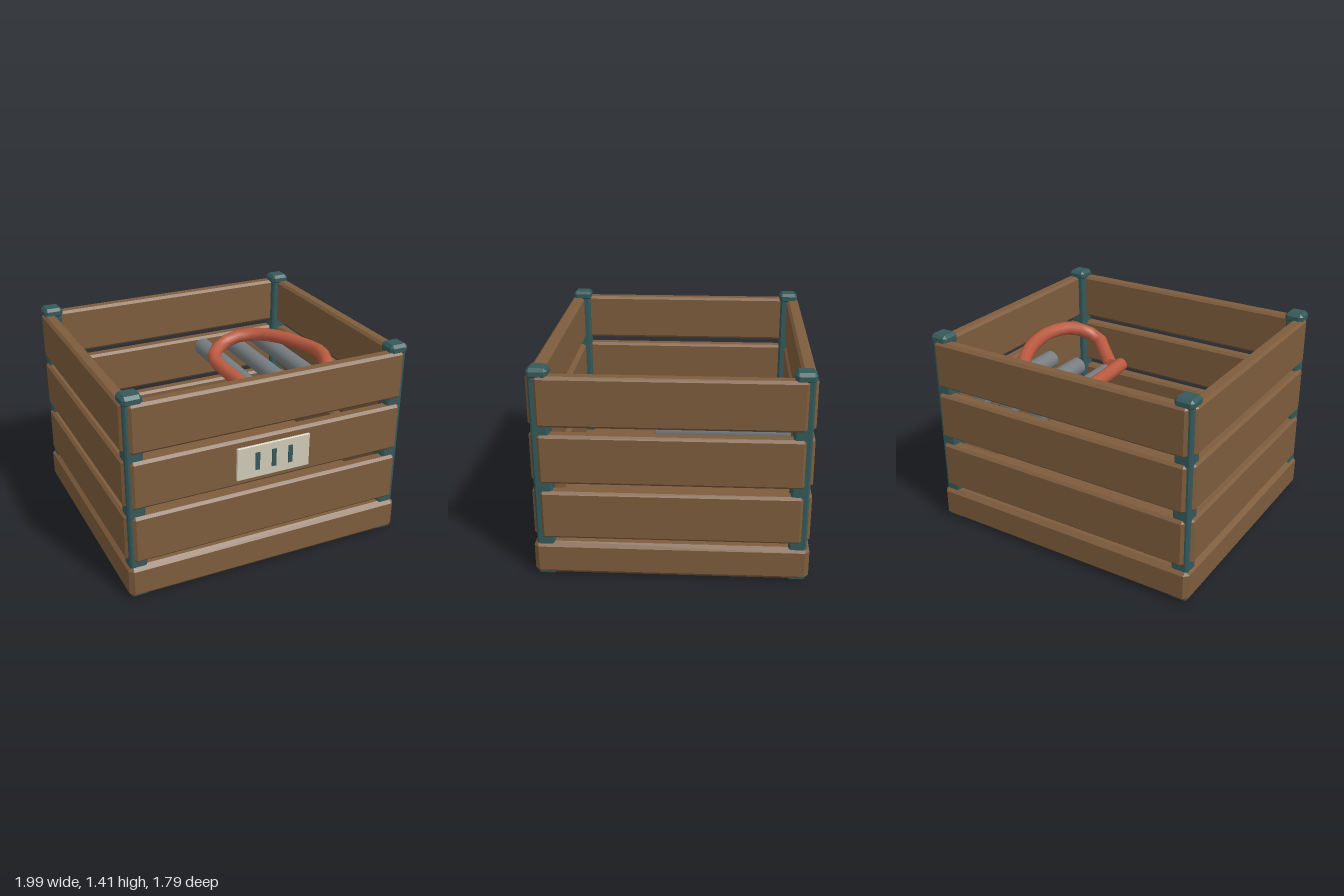
import * as THREE from 'three';
import { ConvexGeometry } from 'three/addons/geometries/ConvexGeometry.js';

const material = (name, color) => {
  const m = new THREE.MeshStandardMaterial({ color });
  m.name = name;
  return m;
};

// Box with chamfered edges, centred on the origin
function chamferBox(w, h, d, c) {
  const points = [];
  const [x, y, z] = [w / 2, h / 2, d / 2];
  for (const i of [-1, 1]) for (const j of [-1, 1]) for (const k of [-1, 1]) {
    points.push(
      new THREE.Vector3(i * x, j * (y - c), k * (z - c)),
      new THREE.Vector3(i * (x - c), j * y, k * (z - c)),
      new THREE.Vector3(i * (x - c), j * (y - c), k * z)
    );
  }
  return new ConvexGeometry(points);
}

export function createModel() {
  const group = new THREE.Group();
  group.name = 'crate';
  const wood = material('wood', 0x7d5c3c);
  const teal = material('teal metal', 0x35595a);
  const cream = material('cream plate', 0xcfc8b4);
  const steel = material('grey steel', 0x767d81);
  const rust = material('red hose', 0xba5a40);

  const add = (name, geometry, mat, x, y, z, parent = group) => {
    const mesh = new THREE.Mesh(geometry, mat);
    mesh.name = name;
    mesh.position.set(x, y, z);
    parent.add(mesh);
    return mesh;
  };

  const midZ = -0.013; // crate centre, leaving room for the front plate

  // Solid base
  add('base', chamferBox(1.99, 0.23, 1.768, 0.03), wood, 0, 0.123, midZ);

  // Wall planks, three rows on four sides
  const longPlank = chamferBox(1.91, 0.33, 0.09, 0.018);
  const sidePlank = chamferBox(0.09, 0.33, 1.655, 0.018);
  for (const y of [0.435, 0.82, 1.2]) {
    for (const s of [-1, 1]) {
      add(s > 0 ? 'frontPlank' : 'backPlank', longPlank, wood, 0, y, midZ + s * 0.837);
      add(s > 0 ? 'leftPlank' : 'rightPlank', sidePlank, wood, s * 0.95, y, midZ);
    }
  }

  // Corner posts with caps
  const shaft = chamferBox(0.115, 1.38, 0.115, 0.012);
  const cap = chamferBox(0.132, 0.07, 0.132, 0.02);
  for (const sx of [-1, 1]) for (const sz of [-1, 1]) {
    const post = new THREE.Group();
    post.name = 'cornerPost';
    post.position.set(sx * 0.922, 0, midZ + sz * 0.805);
    group.add(post);
    add('postShaft', shaft, teal, 0, 0.69, 0, post);
    add('postCap', cap, teal, 0, 1.378, 0, post);
  }

  // Front plate with three plain bars
  add('plate', chamferBox(0.52, 0.23, 0.018, 0.004), cream, -0.003, 0.817, 0.876);
  for (const x of [-0.12, -0.003, 0.115]) {
    add('plateBar', new THREE.BoxGeometry(0.03, 0.122, 0.008), teal, x, 0.82, 0.888);
  }

  // Steel rods, turned from a profile with eased ends
  const rodProfile = [[0, -0.43], [0.053, -0.43], [0.065, -0.418], [0.065, 0.418], [0.053, 0.43], [0, 0.43]]
    .map(([r, y]) => new THREE.Vector2(r, y));
  const rod = new THREE.LatheGeometry(rodProfile, 14).rotateX(Math.PI / 2);
  for (const x of [0.235, 0.478, 0.72]) add('rod', rod, steel, x, 0.935, -0.328);

  // Looped hose with closed ends
  const path = new THREE.CatmullRomCurve3([
    [0.19, 0.96, 0.23], [0.17, 0.965, 0], [0.15, 0.98, -0.22], [0.155, 0.995, -0.36],
    [0.25, 1.02, -0.48], [0.38, 1.06, -0.52], [0.55, 1.09, -0.45], [0.68, 1.105, -0.26],
    [0.765, 1.11, -0.02], [0.77, 1.12, 0.13], [0.715, 1.11, 0.32], [0.635, 1.05, 0.45],
    [0.54, 1.0, 0.475], [0.43, 0.955, 0.38], [0.3, 0.92, 0.26]
  ].map(p => new THREE.Vector3(...p)));
  const hose = new THREE.Group();
  hose.name = 'hose';
  group.add(hose);
  add('hoseTube', new THREE.TubeGeometry(path, 24, 0.05, 10), rust, 0, 0, 0, hose);
  for (const t of [0, 1]) {
    const p = path.getPointAt(t);
    const out = path.getTangentAt(t).multiplyScalar(t ? 1 : -1);
    const end = add('hoseEnd', new THREE.CircleGeometry(0.05, 10), rust, p.x, p.y, p.z, hose);
    end.quaternion.setFromUnitVectors(new THREE.Vector3(0, 0, 1), out);
  }

  return group;
}
